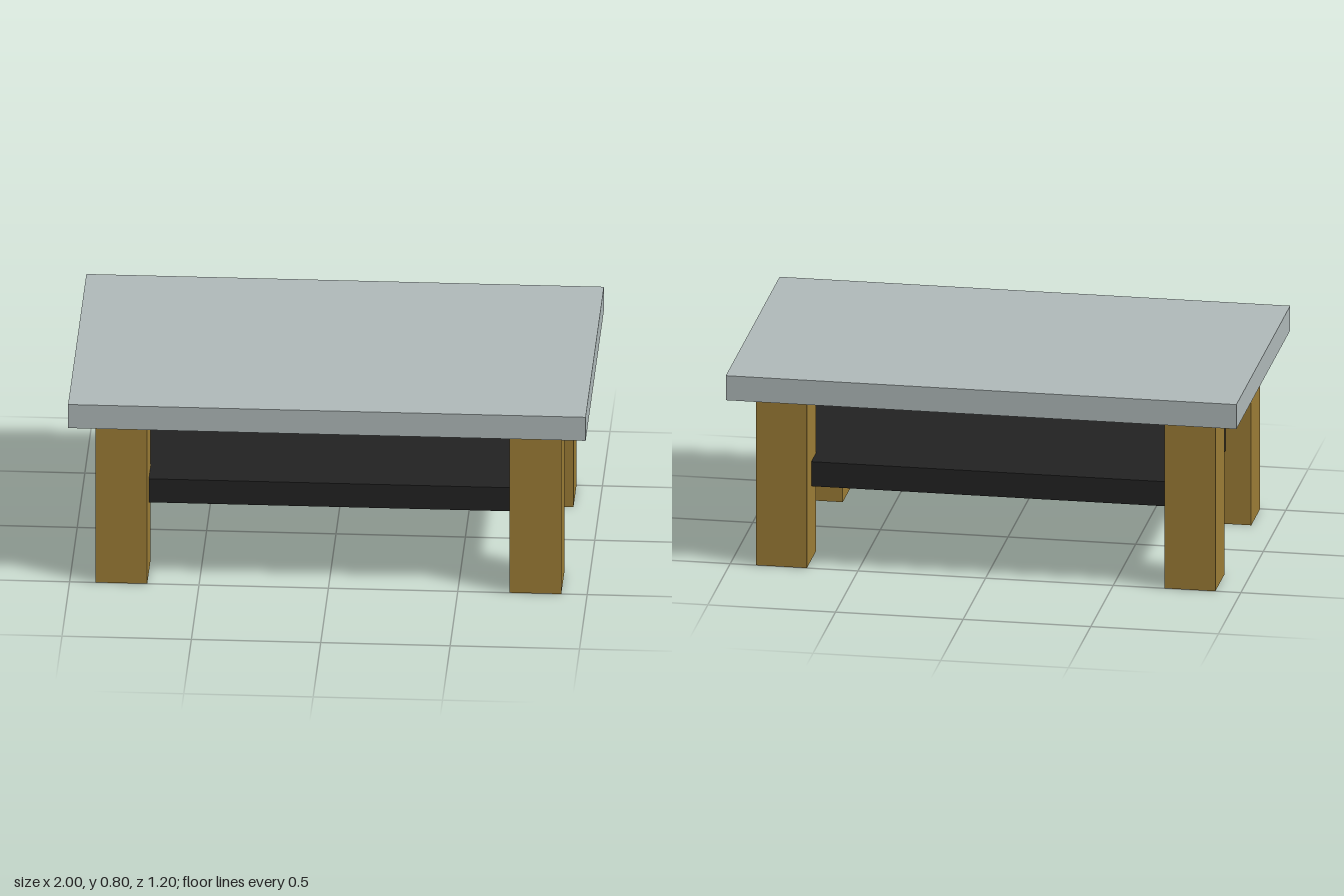
import * as THREE from 'three';

const paint = (name, color) => {
  const material = new THREE.MeshStandardMaterial({ color });
  material.name = name;
  return material;
};

function box(name, material, [w, h, d], [x, y, z]) {
  const mesh = new THREE.Mesh(new THREE.BoxGeometry(w, h, d), material);
  mesh.name = name;
  mesh.position.set(x, y, z);
  return mesh;
}

export function createModel() {
  const stone = paint('paleGrey', 0xaeb8b8);
  const wood = paint('oakBrown', 0x9a7b35);
  const dark = paint('charcoal', 0x222222);

  const table = new THREE.Group();
  table.name = 'coffeeTable';

  // Slab top and the lower shelf let into the legs
  table.add(box('tableTop', stone, [2, 0.1, 1.2], [0, 0.75, 0]));
  table.add(box('shelf', dark, [1.6, 0.1, 0.8], [0, 0.35, 0]));

  // Four square legs, inset from the corners
  for (const [side, x] of [['Left', 0.8], ['Right', -0.8]]) {
    for (const [end, z] of [['front', 0.4], ['back', -0.4]]) {
      table.add(box(`${end}${side}Leg`, wood, [0.2, 0.7, 0.2], [x, 0.35, z]));
    }
  }
  return table;
}
